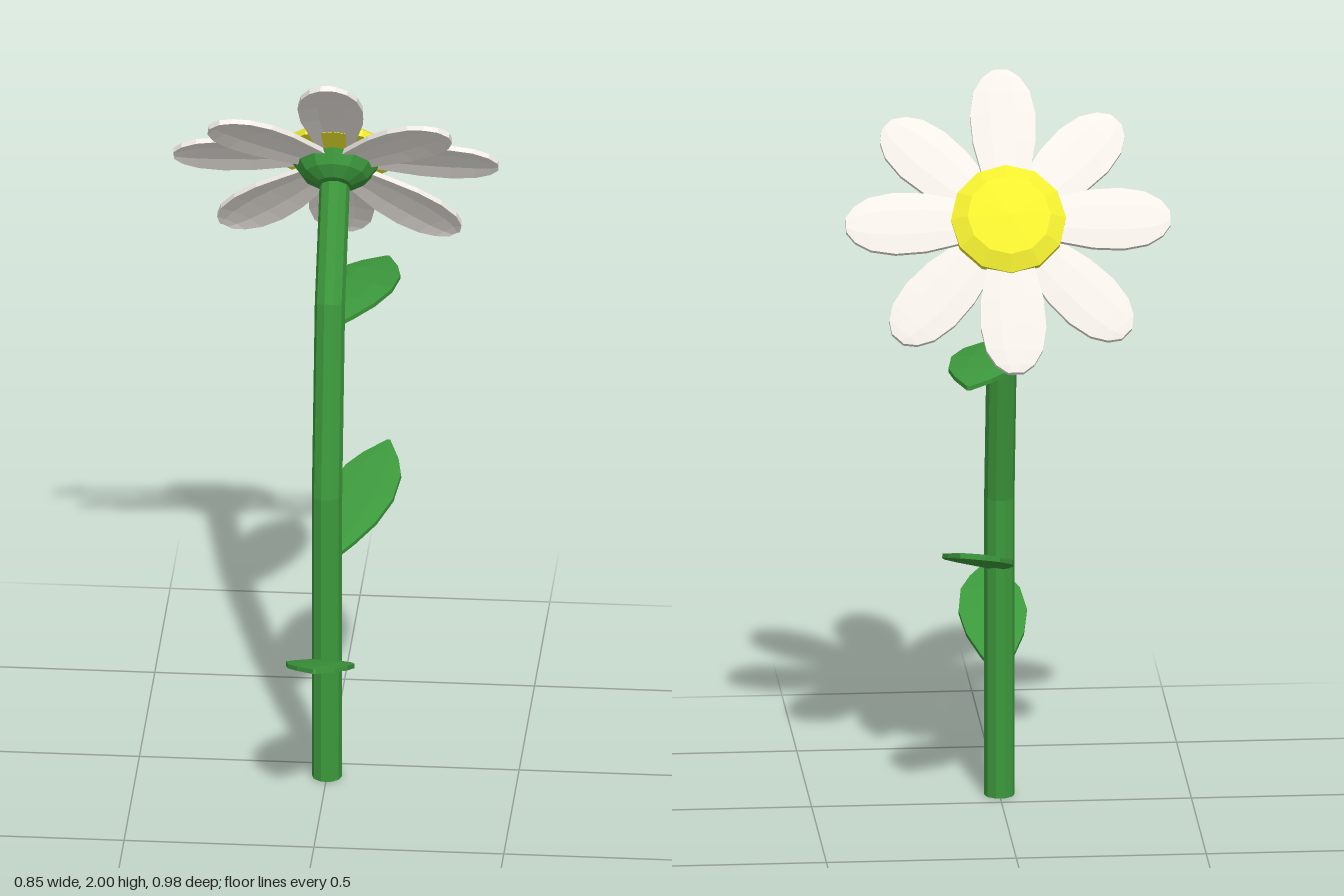
import * as THREE from 'three';

const material = (color) => new THREE.MeshStandardMaterial({ color, flatShading: true });

// Skins a list of equal-sized rings (counter-clockwise seen from the end) and caps both ends.
function loft(rings) {
  const n = rings[0].length;
  const index = [];
  for (let i = 0; i < rings.length - 1; i++) {
    for (let j = 0; j < n; j++) {
      const a = i * n + j, b = i * n + (j + 1) % n;
      index.push(a, b, b + n, a, b + n, a + n);
    }
  }
  const last = (rings.length - 1) * n;
  for (let j = 1; j < n - 1; j++) {
    index.push(0, j + 1, j, last, last + j, last + j + 1);
  }
  const geometry = new THREE.BufferGeometry();
  geometry.setAttribute('position', new THREE.Float32BufferAttribute(rings.flat(2), 3));
  geometry.setIndex(index);
  const flat = geometry.toNonIndexed();
  flat.computeVertexNormals();
  return flat;
}

// Thin blade along +z: outline holds [distance, half width] pairs.
function blade(outline, { thickness, crown, height }) {
  const across = [-1, -0.4, 0.4, 1];
  return loft(outline.map(([z, w]) => {
    const y = (u) => height(z) + crown * (w / 0.09) * (1 - u * u);
    const under = across.map((u) => [u * w, y(u) - thickness, z]);
    const over = across.map((u) => [u * w, y(u), z]).reverse();
    return [...under, ...over];
  }));
}

export function createModel() {
  const flower = new THREE.Group();
  flower.name = 'flower';
  const green = material(0x3c983c);
  const white = material(0xf2ede6);
  const yellow = material(0xf3ef30);

  const add = (parent, name, geometry, mat) => {
    const mesh = new THREE.Mesh(geometry, mat);
    mesh.name = name;
    parent.add(mesh);
    return mesh;
  };

  // Bent stem: [y, z, backward tilt of the ring]
  const joints = [[0, 0.073, 0], [0.82, 0.073, 0.095], [1.335, -0.023, 0.35], [1.655, -0.205, 0.51]];
  const sides = 10;
  add(flower, 'stem', loft(joints.map(([y, z, tilt]) =>
    Array.from({ length: sides }, (_, i) => {
      const a = (i / sides) * Math.PI * 2;
      const u = 0.04 * Math.cos(a), v = 0.04 * Math.sin(a);
      return [u, y - v * Math.sin(tilt), z - v * Math.cos(tilt)];
    }))), green);

  // Leaves, each from a base point on the stem to its tip
  const leafOutline = [[0, 0.02], [0.05, 0.045], [0.13, 0.076], [0.22, 0.09], [0.31, 0.078], [0.365, 0.05], [0.425, 0.004]];
  const leaves = [
    ['frontLeaf', [0, 0.345, 0.095], [0, 0.515, 0.49], 0.008],
    ['middleLeaf', [0.01, 0.64, 0.045], [0.13, 0.788, -0.335], 0.004],
    ['upperLeaf', [0, 1.278, -0.025], [0.12, 1.278, -0.43], 0.014],
  ];
  for (const [name, base, tip, arch] of leaves) {
    const leaf = add(flower, name, blade(leafOutline, {
      thickness: 0.012, crown: 0.007, height: (z) => arch * Math.sin(Math.PI * z / 0.425),
    }), green);
    leaf.position.set(...base);
    leaf.lookAt(...tip);
  }

  // Flower head, local +y is the way it faces
  const head = new THREE.Group();
  head.name = 'flowerHead';
  head.position.set(0, 1.667, -0.228);
  head.rotation.x = -0.902;
  flower.add(head);

  // Two layers of four petals, the diagonal one lower and drooping more
  const petalOutline = [[0.03, 0.04], [0.14, 0.065], [0.22, 0.082], [0.3, 0.086], [0.365, 0.074], [0.405, 0.05], [0.427, 0.02]];
  const layers = [['frontPetal', 0, 0.008, 0.012], ['backPetal', Math.PI / 4, -0.02, 0.04]];
  for (const [name, turn, level, droop] of layers) {
    const geometry = blade(petalOutline, {
      thickness: 0.014, crown: 0.01, height: (z) => level - droop * z / 0.427,
    });
    for (let i = 0; i < 4; i++) {
      add(head, name, geometry, white).rotation.y = turn + i * Math.PI / 2;
    }
  }

  // Domed centre and the cup joining the head to the stem
  const lathe = (profile, n) => new THREE.LatheGeometry(profile.map((p) => new THREE.Vector2(...p)), n);
  add(head, 'centre', lathe([[0, -0.005], [0.152, -0.005], [0.152, 0.014], [0.11, 0.042], [0, 0.05]], 12), yellow);
  add(head, 'cup', lathe([[0, -0.085], [0.045, -0.085], [0.085, -0.065], [0.112, -0.03], [0, -0.01]], 12), green);

  return flower;
}
